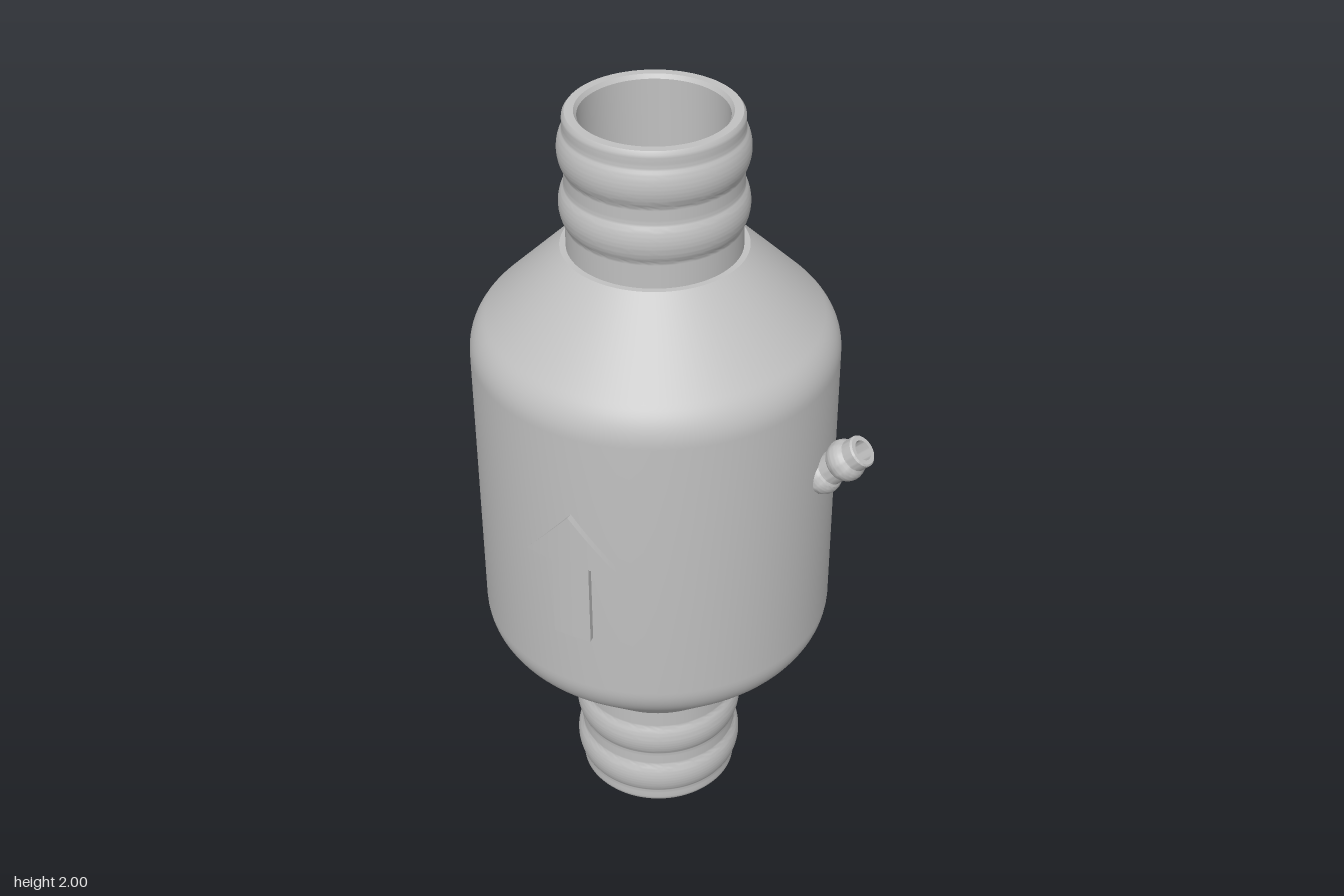
import * as THREE from 'three';
import { mergeGeometries, toCreasedNormals } from 'three/addons/utils/BufferGeometryUtils.js';

const CX = -0.066, CZ = -0.008; // main axis of the valve
const BODY_R = 0.453;

const v = (x, y) => new THREE.Vector2(x, y);
const lathe = (pts, segs = 96) => toCreasedNormals(new THREE.LatheGeometry(pts, segs), 0.6);

// Rounded hose ribs: extra radius at height y
function rib(y, centres, halfWidth, height) {
  for (const c of centres) {
    const t = (y - c) / halfWidth;
    if (Math.abs(t) < 1) return height * Math.sqrt(1 - t * t) * (1 - 0.3 * t * t);
  }
  return 0;
}

function bodyGeometry() {
  const fillet = new THREE.QuadraticBezierCurve(v(BODY_R, 1.375), v(BODY_R, 1.43), v(0.411, 1.471));
  const top = [...fillet.getPoints(8), v(0.226, 1.655), v(0.177, 1.655)];
  const bottom = top.map((p) => v(p.x, 2 - p.y)).reverse();
  const inner = [v(0.177, 1.62), v(0.2, 1.62), v(0.415, 1.41), v(0.415, 0.59), v(0.2, 0.38), v(0.177, 0.38), v(0.177, 0.345)];
  return lathe([...bottom, ...top, ...inner]);
}

function neckGeometry() {
  const pts = [v(0.211, 1.64)];
  for (let y = 1.66; y < 1.985; y += 0.005) pts.push(v(0.211 + rib(y, [1.77, 1.91], 0.046, 0.014), y));
  pts.push(v(0.21, 1.992), v(0.204, 2), v(0.183, 2), v(0.176, 1.99), v(0.175, 1.62));
  return lathe(pts);
}

function nozzleGeometry() {
  const pts = [];
  for (let y = -0.2; y < -0.008; y += 0.004) pts.push(v(0.041 + rib(y, [-0.142, -0.06], 0.026, 0.012), y));
  pts.push(v(0.041, -0.004), v(0.037, 0), v(0.026, 0), v(0.025, -0.15), v(0, -0.15));
  return lathe(pts, 40);
}

// Arrow made of narrow columns wrapped round the body
function arrowGeometry() {
  const stem = 0.048, head = 0.12, xs = [];
  for (let i = 0; i <= 6; i++) xs.push(-head + (head - stem) * i / 6);
  for (let i = 1; i < 8; i++) xs.push(-stem + 2 * stem * i / 8);
  for (let i = 0; i <= 6; i++) xs.push(stem + (head - stem) * i / 6);
  const topY = (x) => 1.157 - 0.142 * Math.abs(x) / head;
  const columns = [];
  for (let i = 0; i < xs.length - 1; i++) {
    const a = xs[i], b = xs[i + 1];
    const low = Math.abs((a + b) / 2) < stem ? 0.79 : 1.014;
    const shape = new THREE.Shape([v(a, low), v(b, low), v(b, topY(b)), v(a, topY(a))]);
    columns.push(new THREE.ExtrudeGeometry(shape, { depth: 0.025, bevelEnabled: false }));
  }
  const geo = mergeGeometries(columns);
  const pos = geo.attributes.position;
  for (let i = 0; i < pos.count; i++) {
    const r = BODY_R - 0.009 + pos.getZ(i), angle = Math.asin(pos.getX(i) / BODY_R);
    pos.setXYZ(i, r * Math.sin(angle), pos.getY(i), r * Math.cos(angle));
  }
  geo.computeVertexNormals();
  return toCreasedNormals(geo, 0.4);
}

export function createModel() {
  const grey = new THREE.MeshStandardMaterial({ color: 0xc0c0c0 });
  grey.name = 'light grey plastic';
  const model = new THREE.Group();
  model.name = 'checkValve';
  const valve = new THREE.Group();
  valve.name = 'valve';
  valve.position.set(CX, 0, CZ);
  model.add(valve);
  const add = (name, geo) => {
    const mesh = new THREE.Mesh(geo, grey);
    mesh.name = name;
    valve.add(mesh);
    return mesh;
  };

  add('body', bodyGeometry());

  // Ribbed hose necks, mirrored top and bottom
  add('topNeck', neckGeometry());
  const bottomNeck = add('bottomNeck', neckGeometry());
  bottomNeck.rotation.x = Math.PI;
  bottomNeck.position.y = 2;

  add('flowArrow', arrowGeometry());

  // Angled side nozzle
  const nozzle = add('sideNozzle', nozzleGeometry());
  nozzle.position.set(0.487 - CX, 1.222, 0);
  nozzle.rotation.z = -Math.PI / 4;

  // Inner plate with six round cups and a central cone
  const plateY = 1.0, cupR = 0.075, cupRing = 0.225;
  const plate = new THREE.Shape().absarc(0, 0, 0.415, 0, Math.PI * 2);
  const cup = lathe([v(0, -0.095), v(cupR + 0.002, -0.095), v(cupR + 0.002, 0), v(cupR, 0), v(0.05, -0.09), v(0, -0.09)], 32);
  for (let i = 0; i < 6; i++) {
    const a = Math.PI / 6 + i * Math.PI / 3;
    const x = cupRing * Math.cos(a), z = cupRing * Math.sin(a);
    plate.holes.push(new THREE.Path().absarc(x, z, cupR, 0, Math.PI * 2, true));
    add('plateCup', cup).position.set(x, plateY, z);
  }
  const plateGeo = new THREE.ExtrudeGeometry(plate, { depth: 0.03, bevelEnabled: false, curveSegments: 32 });
  plateGeo.rotateX(-Math.PI / 2);
  add('innerPlate', plateGeo).position.y = plateY - 0.03;
  add('innerCone', new THREE.ConeGeometry(0.104, 0.15, 48)).position.y = plateY + 0.075;

  return model;
}
